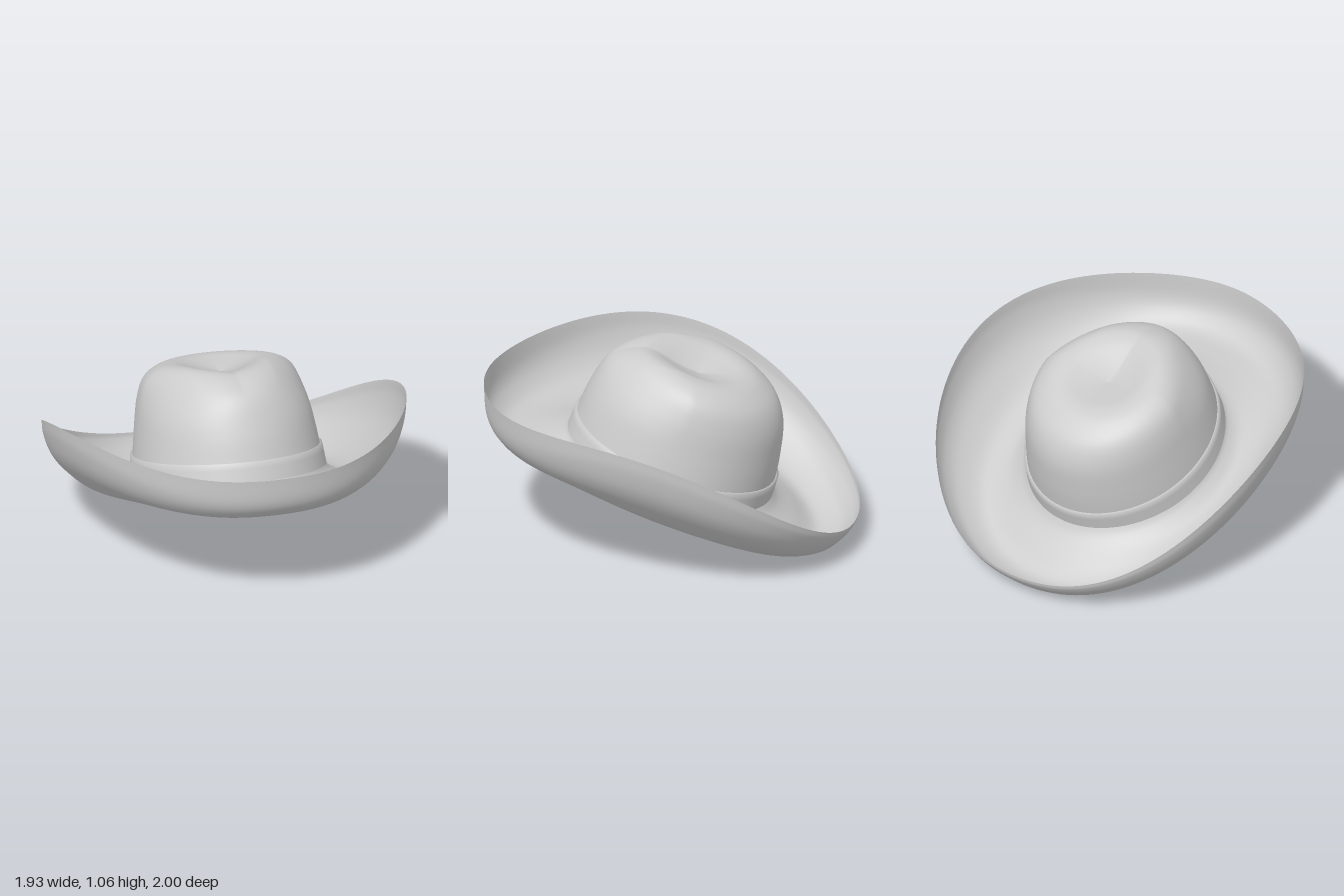
import * as THREE from 'three';

const TILT = Math.atan(0.35), C = Math.cos(TILT), S = Math.sin(TILT);
const BASE_Y = 0.385, ROLL = 0.025;

// Smooth curve through [a, b, c] points, evenly spaced by index
const curve = pts => new THREE.CatmullRomCurve3(
  pts.map(p => new THREE.Vector3(p[0], p[1], p[2] || 0)), false, 'catmullrom', 0.5);

// Closed rings of points joined into one smooth skin
function loft(rows, cols, pointAt) {
  const pos = [], idx = [];
  for (let i = 0; i <= rows; i++) {
    for (let j = 0; j < cols; j++) {
      pos.push(...pointAt(i / rows, (j / cols) * Math.PI * 2));
      if (i === rows) continue;
      const a = i * cols + j, b = i * cols + (j + 1) % cols;
      idx.push(a, a + cols, b, b, a + cols, b + cols);
    }
  }
  const g = new THREE.BufferGeometry();
  g.setAttribute('position', new THREE.Float32BufferAttribute(pos, 3));
  g.setIndex(idx);
  g.computeVertexNormals();
  return g;
}

// Hat space (x across, u up the crown, f forward) to the tilted pose
const place = (x, u, f) => [x, BASE_Y + u * C + f * S - ROLL * x, f * C - u * S];

// Crown rings: half width and height, then front and back reach
const crownShape = curve([
  [0.505, 0.05], [0.495, 0.14], [0.475, 0.28], [0.447, 0.44], [0.405, 0.55],
  [0.33, 0.61], [0.24, 0.622], [0.13, 0.60], [0, 0.575]]);
const crownReach = curve([
  [0.583, -0.543], [0.58, -0.537], [0.57, -0.516], [0.535, -0.475], [0.468, -0.40],
  [0.385, -0.29], [0.30, -0.2], [0.18, -0.1], [0.04, 0.04]]);

function crownPoint(t, a) {
  const { x: half, y: height } = crownShape.getPoint(t);
  const { x: front, y: back } = crownReach.getPoint(t);
  const s = Math.sin(a), upper = THREE.MathUtils.smoothstep(height, 0.3, 0.6);
  const f = (front + back) / 2 + s * (front - back) / 2;
  // Narrower toward the front, with a creased valley along the top
  const x = half * Math.cos(a) * (1 - 0.22 * upper * Math.max(0, s));
  const valley = 0.035 * Math.max(0, 1 - Math.abs(x) / 0.22)
    * THREE.MathUtils.smoothstep(height, 0.45, 0.6) * THREE.MathUtils.smoothstep(f, -0.15, 0.15);
  return place(x, height - valley, f);
}

// Band: short sleeve just outside the crown, closed at the top edge
function bandPoint(t, a) {
  const edge = t > 0.99;
  const u = edge ? 0.14 : 0.03 + 0.11 * Math.min(1, t / 0.75);
  const grow = edge ? -0.004 : 0.012;
  const lean = 0.12 * u;
  return place((0.513 - lean + grow) * Math.cos(a), u, 0.02 + (0.566 - lean * 0.4 + grow) * Math.sin(a));
}

// Brim height above the crown base from inner edge to rim, by direction
const reach = [0, 0.08, 0.25, 0.5, 0.75, 0.9, 0.98, 1];
const frontRise = [0.053, 0, -0.04, -0.085, -0.115, -0.085, -0.02, 0.115];
const backRise = [0.053, 0, -0.05, -0.105, -0.05, 0.03, 0.09, 0.12];
const sideRise = [0.053, 0, -0.045, -0.01, 0.1, 0.205, 0.325, 0.415];
const brimCurves = new Map();

function brimPoint(t, a) {
  const c = Math.cos(a), s = Math.sin(a);
  if (!brimCurves.has(a)) {
    const side = Math.pow(Math.abs(c), 2.6);
    const ends = s > 0 ? frontRise : backRise;
    brimCurves.set(a, curve(reach.map((r, i) => [r, THREE.MathUtils.lerp(ends[i], sideRise[i], side)])));
  }
  const { x: r, y: h } = brimCurves.get(a).getPoint(1 - t);
  const lerp = THREE.MathUtils.lerp;
  const x = lerp(0.505, 0.967, r) * c;
  const z = lerp(0.0025 + 0.5315 * s, s - 0.07 * c * c, r);
  return [x, BASE_Y + 0.35 * z + h - ROLL * x, z];
}

export function createModel() {
  const hat = new THREE.Group();
  hat.name = 'hat';
  const felt = new THREE.MeshStandardMaterial({ color: 0xcccccc, side: THREE.DoubleSide });
  felt.name = 'greyFelt';

  const add = (name, geometry) => {
    const mesh = new THREE.Mesh(geometry, felt);
    mesh.name = name;
    hat.add(mesh);
  };
  add('brim', loft(42, 128, brimPoint));
  add('crown', loft(56, 128, crownPoint));
  add('hatBand', loft(4, 128, bandPoint));
  return hat;
}
